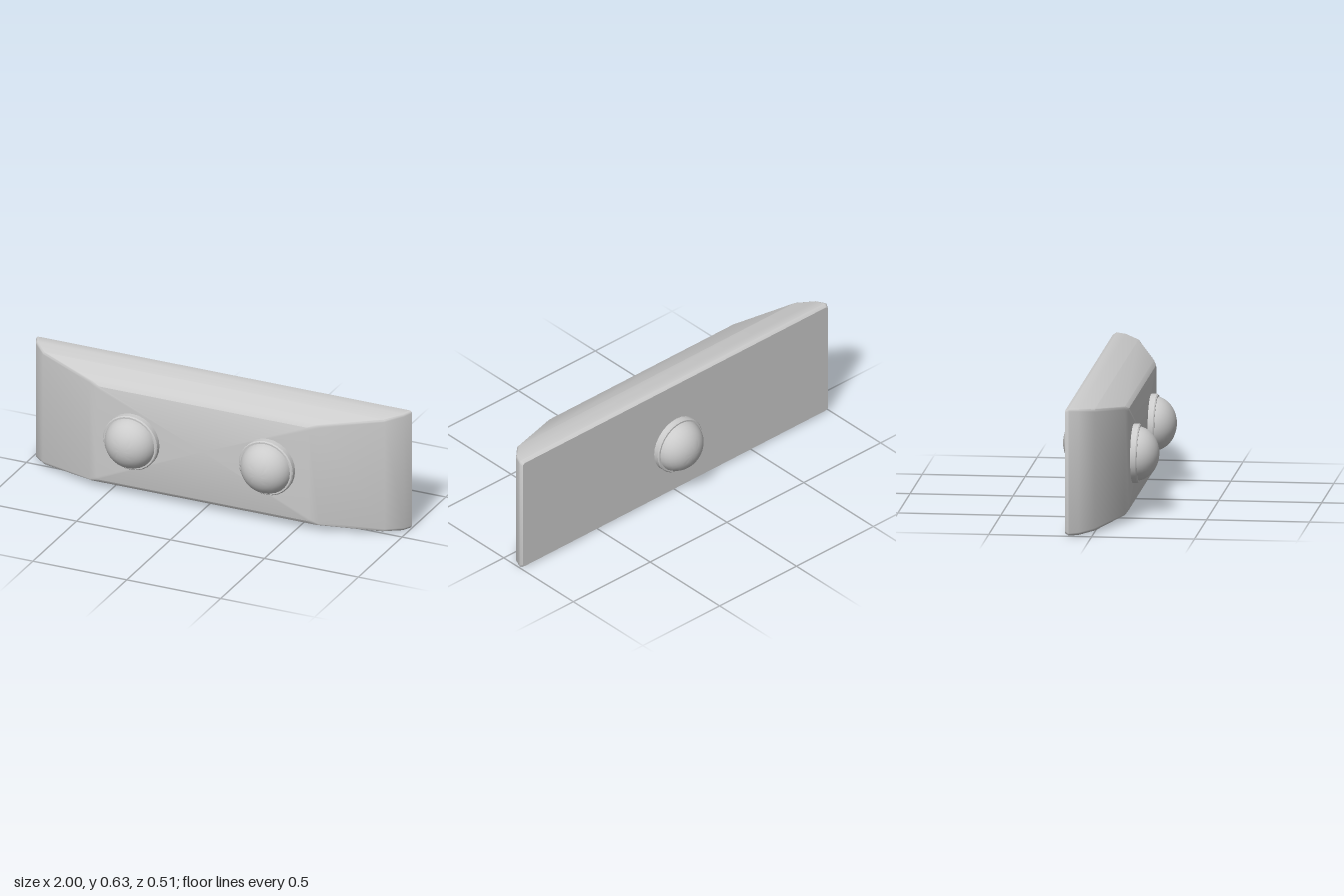
import * as THREE from 'three';
import { toCreasedNormals } from 'three/addons/utils/BufferGeometryUtils.js';

const material = new THREE.MeshStandardMaterial({ color: 0xcccccc });

// Outline of a rectangle with rounded corners, counter-clockwise seen from the front
function roundedOutline(halfWidth, bottom, top, radius) {
  const points = [];
  const corners = [[1, top - radius], [-1, top - radius], [-1, bottom + radius], [1, bottom + radius]];
  corners.forEach(([side, y], k) => {
    for (let s = 0; s <= 3; s++) {
      const a = (k + s / 3) * Math.PI / 2;
      points.push([side * (halfWidth - radius) + radius * Math.cos(a), y + radius * Math.sin(a)]);
    }
  });
  return points;
}

// Tapered slab lofted from back to front: z, half width, bottom, top
function bodyGeometry() {
  const sections = [
    [-0.13, 0.993, 0.01, 0.615],
    [-0.112, 1.0, 0.0, 0.626],
    [-0.065, 0.98, 0.002, 0.623],
    [0.005, 0.91, 0.012, 0.61],
    [0.115, 0.612, 0.034, 0.567],
    [0.13, 0.565, 0.053, 0.55],
  ];
  const positions = [];
  const index = [];
  let n = 0;
  for (const [z, w, bottom, top] of sections) {
    const ring = roundedOutline(w, bottom, top, 0.014);
    n = ring.length;
    for (const [x, y] of ring) positions.push(x, y, z);
  }
  const last = (sections.length - 1) * n;
  const back = sections.length * n;
  positions.push(0, 0.31, -0.13, 0, 0.31, 0.13);
  for (let j = 0; j < n; j++) {
    const k = (j + 1) % n;
    for (let r = 0; r < last; r += n) {
      index.push(r + j, r + k, r + n + k, r + j, r + n + k, r + n + j);
    }
    index.push(back, k, j, back + 1, last + j, last + k);
  }
  const geometry = new THREE.BufferGeometry();
  geometry.setAttribute('position', new THREE.Float32BufferAttribute(positions, 3));
  geometry.setIndex(index);
  return toCreasedNormals(geometry, 0.65);
}

function lathe(profile) {
  const geometry = new THREE.LatheGeometry(profile.map(([r, h]) => new THREE.Vector2(r, h)), 28);
  return toCreasedNormals(geometry.rotateX(Math.PI / 2), 0.6);
}

// Domed button seated in a raised collar, facing +z
function createButton(name) {
  const button = new THREE.Group();
  button.name = name;
  const collar = new THREE.Mesh(
    lathe([[0.144, -0.015], [0.144, 0.025], [0.139, 0.031], [0.125, 0.031]]), material);
  collar.name = 'collar';
  const domeProfile = [];
  for (let i = 0; i <= 8; i++) {
    const a = i / 8 * Math.PI / 2;
    domeProfile.push([0.133 * Math.cos(a), 0.012 + 0.113 * Math.sin(a)]);
  }
  const dome = new THREE.Mesh(lathe(domeProfile), material);
  dome.name = 'dome';
  button.add(collar, dome);
  return button;
}

export function createModel() {
  const model = new THREE.Group();
  model.name = 'buttonPanel';

  const body = new THREE.Mesh(bodyGeometry(), material);
  body.name = 'body';
  model.add(body);

  // Two buttons on the front, one on the back
  const placements = [
    ['frontRightButton', -0.375, 0.295, 1],
    ['frontLeftButton', 0.347, 0.305, 1],
    ['backButton', -0.005, 0.272, -1],
  ];
  for (const [name, x, y, side] of placements) {
    const button = createButton(name);
    button.position.set(x, y, side * 0.13);
    if (side < 0) button.rotation.y = Math.PI;
    else button.rotation.x = 0.02;
    model.add(button);
  }
  return model;
}
